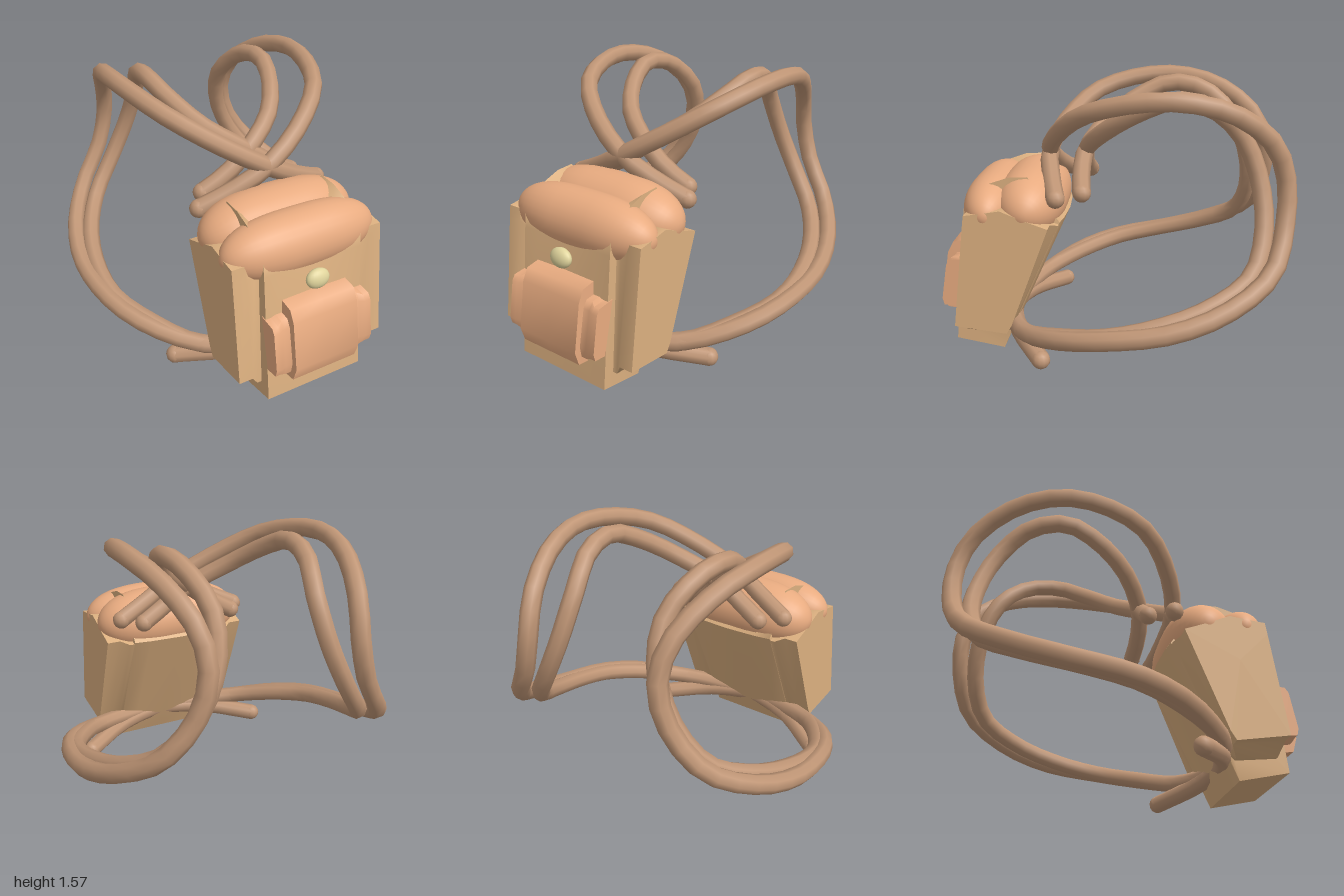
import * as THREE from 'three';
import { mergeVertices, toCreasedNormals } from 'three/addons/utils/BufferGeometryUtils.js';

const material = (color) => new THREE.MeshStandardMaterial({ color });
const canvas = material(0xdcb080);
const leather = material(0xe8ab80);
const strapMat = material(0xc09676);
const brass = material(0xe0d49c);

// Skin a row of side profiles ([z, y] points) placed along x, mirrored about x = 0.
function loftAcross(half) {
  const mirrored = half.slice(1).reverse().map(([x, p]) => [-x, p]);
  const rows = [...mirrored, ...half];
  const n = rows[0][1].length;
  const pos = [];
  const at = (i, j) => {
    const [z, y] = rows[i][1][j % n];
    return [rows[i][0], y, z];
  };
  const centre = (i) => {
    const p = rows[i][1];
    const mean = (k) => p.reduce((s, q) => s + q[k], 0) / n;
    return [rows[i][0], mean(1), mean(0)];
  };
  const tri = (a, b, c) => pos.push(...a, ...b, ...c);
  for (let j = 0; j < n; j++) {
    for (let i = 0; i < rows.length - 1; i++) {
      const a = at(i, j), b = at(i, j + 1), c = at(i + 1, j + 1), d = at(i + 1, j);
      tri(a, d, c);
      tri(a, c, b);
    }
    const e = rows.length - 1;
    tri(centre(0), at(0, j), at(0, j + 1));
    tri(centre(e), at(e, j + 1), at(e, j));
  }
  const geo = new THREE.BufferGeometry();
  geo.setAttribute('position', new THREE.Float32BufferAttribute(pos, 3));
  return toCreasedNormals(geo, 1.0);
}

// Pillow with a broad middle and rounded ends.
function pillow(rx, ry, rz) {
  const geo = new THREE.SphereGeometry(1, 28, 24).rotateZ(Math.PI / 2);
  const p = geo.attributes.position;
  for (let i = 0; i < p.count; i++) {
    const x = p.getX(i);
    p.setX(i, Math.sign(x) * Math.abs(x) ** 0.68);
  }
  geo.scale(rx, ry, rz);
  geo.deleteAttribute('normal');
  geo.deleteAttribute('uv');
  const welded = mergeVertices(geo, 1e-4);
  welded.computeVertexNormals();
  return welded;
}

export function createModel() {
  const group = new THREE.Group();
  const add = (name, geo, mat, parent = group) => {
    const mesh = new THREE.Mesh(geo, mat);
    mesh.name = name;
    parent.add(mesh);
    return mesh;
  };

  // Bag body: tall middle column, pinched seams, shorter side panels
  const spine = [[0.9, 0.055], [0.82, 0.8], [0.79, 0.87], [0.7, 0.95], [0.55, 0.93], [0.41, 0.95], [0.25, 0.79], [0.54, 0.15], [0.62, 0]];
  const inner = [[0.9, 0.055], [0.825, 0.8], [0.805, 0.87], [0.7, 0.96], [0.55, 0.96], [0.42, 0.96], [0.26, 0.79], [0.55, 0.15], [0.62, 0]];
  const column = [[0.9, 0.055], [0.825, 0.8], [0.815, 0.87], [0.69, 1.0], [0.56, 1.045], [0.45, 1.05], [0.275, 0.79], [0.555, 0.15], [0.62, 0]];
  const seam = [[0.83, 0.13], [0.78, 0.77], [0.76, 0.82], [0.7, 0.84], [0.57, 0.86], [0.44, 0.83], [0.28, 0.78], [0.56, 0.15], [0.6, 0.11]];
  const panel = [[0.865, 0.21], [0.79, 0.8], [0.78, 0.87], [0.7, 0.88], [0.58, 0.9], [0.46, 0.85], [0.32, 0.8], [0.54, 0.22], [0.57, 0.17]];
  add('bagBody', loftAcross([[0, spine], [0.2, inner], [0.3, column], [0.303, seam], [0.33, seam], [0.38, panel], [0.46, panel]]), canvas);

  // Front pocket: built the same way
  const pocketMid = [[0.975, 0.21], [1, 0.29], [0.955, 0.56], [0.92, 0.625], [0.83, 0.64], [0.91, 0.2]];
  const pocketSeam = [[0.955, 0.25], [0.965, 0.31], [0.925, 0.52], [0.9, 0.56], [0.82, 0.57], [0.89, 0.24]];
  const pocketSide = [[0.965, 0.27], [0.975, 0.31], [0.94, 0.52], [0.92, 0.55], [0.82, 0.56], [0.89, 0.26]];
  add('frontPocket', loftAcross([[0, pocketMid], [0.2, pocketMid], [0.202, pocketSeam], [0.24, pocketSeam], [0.27, pocketSide], [0.305, pocketSide]]), leather);

  // Padded lid in two rolls
  add('lidFront', pillow(0.465, 0.175, 0.165), leather).position.set(0, 0.86, 0.675);
  add('lidBack', pillow(0.465, 0.2, 0.205), leather).position.set(0, 0.87, 0.46);

  // Button
  const button = add('button', new THREE.SphereGeometry(1, 20, 14), brass);
  button.scale.set(0.07, 0.055, 0.036);
  button.position.set(0, 0.72, 0.865);
  button.rotation.x = -0.2;

  // Shoulder straps: two cords a side, crossing at top and bottom
  const tail = [[0.5, 0.2, 0.45], [0.25, 0.17, 0.56], [0, 0.155, 0.6], [-0.3, 0.13, 0.53], [-0.59, 0.085, 0.355]];
  const cords = {
    outerCord: [
      [-0.38, 0.95, 0.285], [-0.2, 1.03, 0.33], [0, 1.14, 0.36], [0.25, 1.29, 0.28], [0.46, 1.43, 0.11],
      [0.56, 1.505, -0.15], [0.58, 1.515, -0.4], [0.53, 1.45, -0.65], [0.455, 1.29, -0.86],
      [0.43, 1.1, -0.94], [0.49, 0.87, -0.94], [0.645, 0.65, -0.865], [0.79, 0.5, -0.64],
      [0.86, 0.4, -0.35], [0.83, 0.335, 0], [0.72, 0.275, 0.24], ...tail],
    innerCord: [
      [-0.29, 0.96, 0.15], [-0.15, 1.04, 0.165], [0, 1.15, 0.15], [0.21, 1.29, 0.03], [0.33, 1.42, -0.16],
      [0.37, 1.49, -0.34], [0.345, 1.45, -0.55], [0.295, 1.29, -0.72], [0.33, 1.05, -0.82],
      [0.44, 0.81, -0.84], [0.59, 0.61, -0.77], [0.73, 0.48, -0.54], [0.8, 0.39, -0.25],
      [0.79, 0.33, 0], [0.68, 0.27, 0.23], ...tail],
  };
  const radius = 0.052;
  for (const side of [1, -1]) {
    const strap = new THREE.Group();
    strap.name = side > 0 ? 'leftStrap' : 'rightStrap';
    group.add(strap);
    for (const [name, pts] of Object.entries(cords)) {
      const path = pts.map(([x, y, z]) => new THREE.Vector3(x * side, y, z));
      const curve = new THREE.CatmullRomCurve3(path);
      add(name, new THREE.TubeGeometry(curve, 48, radius, 8), strapMat, strap);
      // Rounded cord ends
      for (const end of [path[0], path[path.length - 1]]) {
        add(name + 'End', new THREE.SphereGeometry(radius, 12, 8), strapMat, strap).position.copy(end);
      }
    }
  }
  return group;
}
